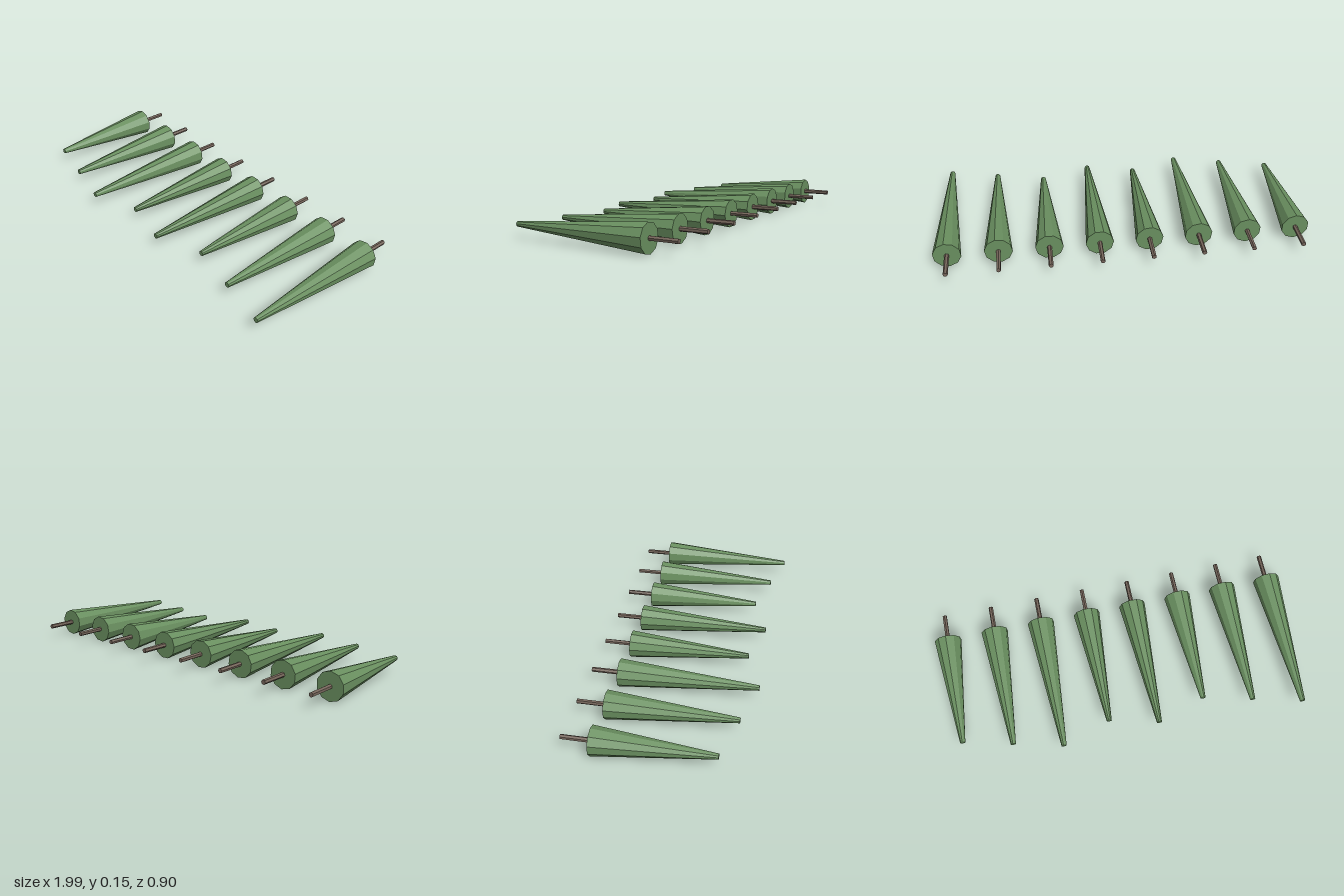
import * as THREE from 'three';

export function createModel() {
  const model = new THREE.Group();
  const foliage = new THREE.MeshStandardMaterial({ color: 0x6a9060, flatShading: true });
  foliage.name = 'foliage green';
  const bark = new THREE.MeshStandardMaterial({ color: 0x75655a, flatShading: true });
  bark.name = 'bark brown';

  const count = 8, baseZ = -0.3, centerY = 0.076;
  const steps = [0, 3, 6, 2, 5, 1, 4, 7]; // length variation per tree

  // Tapered cylinder lying along z, from z0 to z1
  function taper(name, r0, r1, z0, z1, sides, turn, material) {
    const geometry = new THREE.CylinderGeometry(r1, r0, z1 - z0, sides);
    geometry.rotateY(turn);
    geometry.rotateX(Math.PI / 2);
    geometry.translate(0, 0, (z0 + z1) / 2);
    const mesh = new THREE.Mesh(geometry, material);
    mesh.name = name;
    return mesh;
  }

  // Row of slim conifers lying on their sides
  for (let i = 0; i < count; i++) {
    const tree = new THREE.Group();
    tree.name = 'tree' + (i + 1);
    const tipZ = 0.3 + steps[i] * 0.0213;
    const turn = i * 0.7;
    tree.add(taper('foliage', 0.074, 0.014, baseZ, tipZ, 10, turn, foliage));
    tree.add(taper('trunk', 0.0125, 0.0125, -0.45, baseZ + 0.01, 6, turn, bark));
    tree.position.set(-0.926 + i * 0.264, centerY, 0);
    model.add(tree);
  }
  return model;
}
